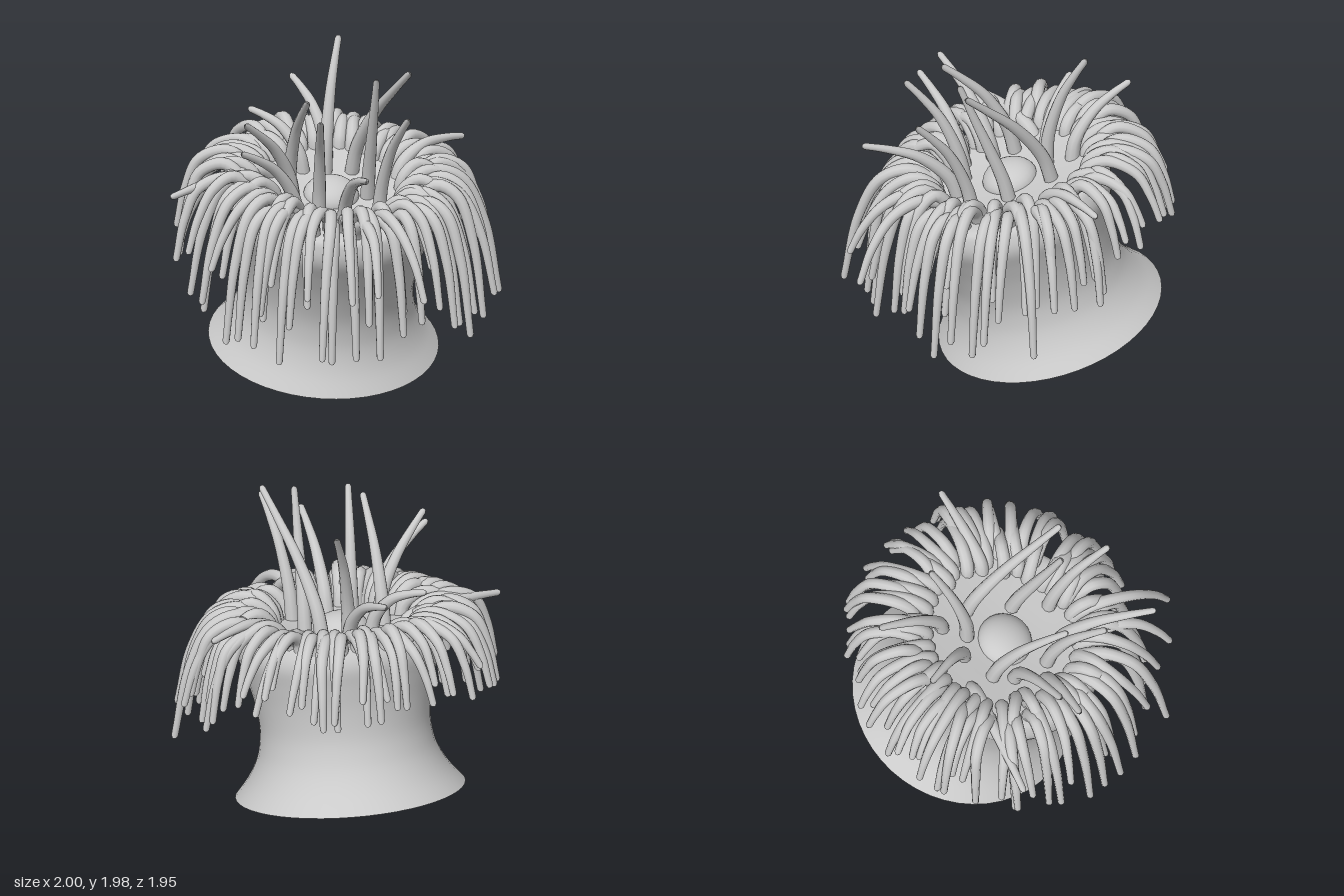
import * as THREE from 'three';

const TILT = 0.268;
const V = (x, y, z) => new THREE.Vector3(x, y, z);
const NORMAL = V(0, Math.cos(TILT), Math.sin(TILT));
const discY = z => 1.15 - Math.tan(TILT) * z;

// Small seeded generator for natural variation
let seed = 7;
function rand(a, b) {
  seed = (seed * 16807) % 2147483647;
  return a + (b - a) * (seed / 2147483647);
}

// Tube along a curve, tapered and with rounded ends
function taperedTube(points, r0, r1, segments = 30, sides = 10) {
  const curve = new THREE.CatmullRomCurve3(points, false, 'centripetal');
  const length = curve.getLength();
  const geo = new THREE.TubeGeometry(curve, segments, 1, sides, false);
  const pos = geo.attributes.position;
  const p = V(0, 0, 0);
  const capInset = [0, 0.25, 1], capScale = [0, 0.66, 1];
  for (let i = 0; i <= segments; i++) {
    const u = i / segments;
    const fromEnd = Math.min(i, segments - i);
    const centre = curve.getPointAt(u);
    let r = THREE.MathUtils.lerp(r0, r1, Math.pow(u, 1.25));
    let target = centre;
    if (fromEnd < 3) {
      const inset = capInset[fromEnd] * r / length;
      target = curve.getPointAt(u < 0.5 ? inset : 1 - inset);
      r *= capScale[fromEnd];
    }
    for (let j = 0; j <= sides; j++) {
      const k = i * (sides + 1) + j;
      p.fromBufferAttribute(pos, k).sub(centre).multiplyScalar(r).add(target);
      pos.setXYZ(k, p.x, p.y, p.z);
    }
  }
  return geo;
}

// Arching tentacle: rises from the disc, reaches out to a shoulder and hangs to its tip
function droopTube(base, tip, lift, shoulder) {
  const drop = base.y - tip.y;
  const sway = rand(-0.06, 0.06);
  const at = (h, y, bend) => V(
    base.x + (tip.x - base.x) * h + (tip.z - base.z) * bend,
    base.y + y,
    base.z + (tip.z - base.z) * h - (tip.x - base.x) * bend);
  return taperedTube([
    base.clone().addScaledVector(NORMAL, -0.05),
    at(0.06, lift * 0.5, 0),
    at(0.3, lift, sway * 0.7),
    at(shoulder, lift * 0.55, sway),
    at(shoulder * 0.4 + 0.6, -drop * 0.3, sway * 0.5),
    tip,
  ], 0.042, 0.019);
}

export function createModel() {
  seed = 7;
  const model = new THREE.Group();
  model.name = 'seaAnemone';
  const skin = new THREE.MeshStandardMaterial({ color: 0xcacaca, side: THREE.DoubleSide });
  skin.name = 'grey skin';

  const add = (parent, geo, name) => {
    const mesh = new THREE.Mesh(geo, skin);
    mesh.name = name;
    parent.add(mesh);
    return mesh;
  };

  // Leaning body: flared open foot, narrow waist, rounded rim and oral disc
  const body = new THREE.Group();
  body.name = 'body';
  body.position.set(0, 0.18, -0.255);
  body.rotation.x = TILT;
  model.add(body);
  const profile = new THREE.SplineCurve([
    [0.68, 0], [0.60, 0.1], [0.545, 0.2], [0.515, 0.3], [0.505, 0.43], [0.53, 0.6],
    [0.57, 0.75], [0.605, 0.87], [0.595, 0.96], [0.55, 1.02], [0.4, 1.01], [0.2, 0.99], [0, 0.98],
  ].map(([r, y]) => new THREE.Vector2(r, y))).getPoints(48);
  profile[profile.length - 1].x = 0;
  add(body, new THREE.LatheGeometry(profile, 48), 'column');

  // Mouth dome in the middle of the disc
  const mouth = add(body, new THREE.SphereGeometry(0.165, 24, 8, 0, Math.PI * 2, 0, Math.PI / 2), 'mouth');
  mouth.position.set(-0.015, 0.98, -0.02);
  mouth.scale.y = 0.65;

  const drooping = new THREE.Group();
  drooping.name = 'droopingTentacles';
  model.add(drooping);
  const onDisc = (angle, r) =>
    V(Math.sin(angle) * r, discY(Math.cos(angle) * r), Math.cos(angle) * r);

  // Long front tentacles, by tip position
  [
    [-0.91, 0.86, 0.08], [-0.87, 0.6, 0.25], [-0.84, 0.53, 0.18], [-0.77, 0.4, 0.43],
    [-0.72, 0.44, 0.52], [-0.65, 0.42, 0.62], [-0.6, 0.6, 0.58], [-0.52, 0.34, 0.72],
    [-0.46, 0.55, 0.72], [-0.31, 0.4, 0.92], [-0.22, 0.34, 0.8], [-0.07, 0.35, 0.8],
    [0.02, 0.78, 0.97], [0.07, 0.35, 0.82], [0.23, 0.46, 0.75], [0.3, 0.73, 0.98],
    [0.35, 0.52, 0.72], [0.46, 0.6, 0.72], [0.56, 0.47, 0.68], [0.61, 0.46, 0.6],
    [0.67, 0.39, 0.62], [0.72, 0.5, 0.53], [0.8, 0.44, 0.42], [0.88, 0.56, 0.37],
    [0.87, 0.7, 0.28], [0.98, 0.49, 0.09], [0.96, 0.77, -0.04],
  ].forEach(([x, y, z], i) => {
    const angle = Math.atan2(x, z) + rand(-0.1, 0.1);
    const base = onDisc(angle, i % 2 ? 0.42 : 0.5);
    add(drooping, droopTube(base, V(x, y, z), rand(0.11, 0.15), 0.6), 'frontTentacle');
  });

  // Inner front tentacles, lying over the long ones
  for (let i = 0; i < 16; i++) {
    const angle = -1.55 + (3.1 * i) / 15 + rand(-0.06, 0.06);
    const tip = onDisc(angle + rand(-0.12, 0.12), rand(0.74, 0.9));
    tip.y = rand(0.55, 0.85);
    add(drooping, droopTube(onDisc(angle, rand(0.36, 0.42)), tip, 0.15, 0.6), 'innerTentacle');
  }

  // Back tentacles: shorter arches around the rear rim
  for (let i = 0; i < 39; i++) {
    const angle = 1.65 + (2.98 * i) / 38 + rand(-0.02, 0.02);
    const base = onDisc(angle, i % 2 ? rand(0.43, 0.47) : rand(0.51, 0.55));
    const tip = onDisc(angle + rand(-0.08, 0.08), rand(0.87, 0.98));
    const side = THREE.MathUtils.smoothstep(base.z, -0.4, 0.05);
    tip.y = base.y - rand(0.12, 0.33) - side * 0.2;
    add(drooping, droopTube(base, tip, rand(0.1, 0.14), 0.68), 'backTentacle');
  }

  // Raised tentacles: base x, base z, tip x, y, z, bow
  const raised = new THREE.Group();
  raised.name = 'raisedTentacles';
  model.add(raised);
  [
    [0.0, -0.22, 0.14, 1.98, -0.44, 0],
    [0.05, -0.36, -0.07, 1.66, -0.76, 0.03],
    [0.16, -0.22, 0.37, 1.96, 0.35, -0.05],
    [0.19, 0.05, 0.17, 1.93, 0.34, -0.14],
    [-0.25, -0.1, -0.25, 1.82, 0.34, 0],
    [-0.15, 0.23, -0.23, 1.76, 0.57, 0],
    [0.2, 0.27, 0.29, 1.76, 0.63, 0],
    [-0.25, 0.03, -0.61, 1.69, 0.27, 0],
    [-0.27, 0.2, -0.66, 1.55, 0.38, 0.02],
    [-0.02, 0.3, -0.03, 1.48, 0.88, 0.03],
    [-0.12, -0.25, -0.4, 1.56, -0.48, 0.04],
    [-0.3, -0.24, -1.0, 1.2, 0.02, 0.06],
    [0.4, -0.1, 0.87, 1.34, -0.32, 0.07],
  ].forEach(([bx, bz, tx, ty, tz, bow]) => {
    const by = discY(bz);
    const rise = ty - by;
    const at = (h, y) => V(bx + (tx - bx) * h, by + y, bz + (tz - bz) * h);
    add(raised, taperedTube([
      V(bx, by, bz).addScaledVector(NORMAL, -0.05),
      at(0.1, rise * 0.26 + bow * 0.6),
      at(0.4, rise * 0.62 + bow),
      at(0.72, rise * 0.84 + bow * 0.6),
      V(tx, ty, tz),
    ], 0.045, 0.018), 'raisedTentacle');
  });

  return model;
}
